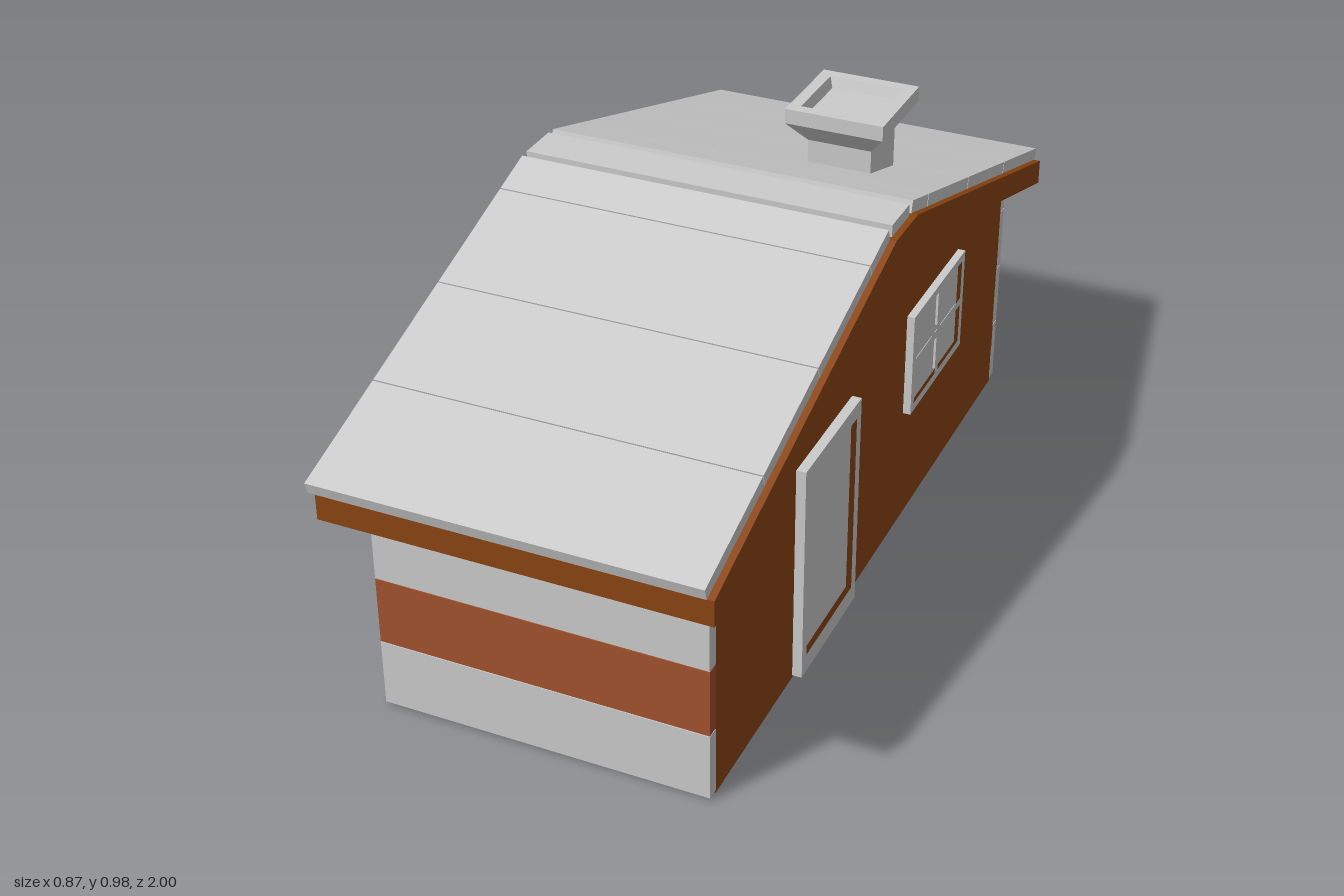
import * as THREE from 'three';

const material = (color) => new THREE.MeshStandardMaterial({ color, flatShading: true });

export function createModel() {
  const model = new THREE.Group();
  const grey = material(0xcccccc);
  const brown = material(0x8b4513);
  const red = material(0xa0522d);

  function add(name, geometry, mat, parent = model) {
    const mesh = new THREE.Mesh(geometry, mat);
    mesh.name = name;
    parent.add(mesh);
    return mesh;
  }

  // Box given by its limits on each axis
  function box(name, [x0, x1], [y0, y1], [z0, z1], mat, parent) {
    const mesh = add(name, new THREE.BoxGeometry(x1 - x0, y1 - y0, z1 - z0), mat, parent);
    mesh.position.set((x0 + x1) / 2, (y0 + y1) / 2, (z0 + z1) / 2);
    return mesh;
  }

  // Outline of [z, y] points, extruded along x
  const outline = (points) => points.map(([z, y]) => new THREE.Vector2(-z, y));
  function extrudeX(name, points, x0, x1, mat, parent, holes = []) {
    const shape = new THREE.Shape(outline(points));
    for (const hole of holes) shape.holes.push(new THREE.Path(outline(hole)));
    const geometry = new THREE.ExtrudeGeometry(shape, { depth: x1 - x0, bevelEnabled: false });
    geometry.rotateY(Math.PI / 2);
    geometry.translate(x0, 0, 0);
    return add(name, geometry, mat, parent);
  }
  const rect = (z0, z1, y0, y1) => [[z0, y0], [z1, y0], [z1, y1], [z0, y1]];
  const mirrored = (half) => [...half, ...half.map(([z, y]) => [-z, y]).reverse()];

  // House body with gabled side walls
  const wall = [-0.365, 0.38];
  extrudeX('walls', mirrored([[0.863, 0], [0.863, 0.57], [0.06, 0.82]]), ...wall, brown);

  // Cladding boards on the front and back
  const levels = [0.006, 0.165, 0.325, 0.485, 0.553];
  for (const side of [1, -1]) {
    for (let i = 0; i < 4; i++) {
      const z = side > 0 ? [0.86, 0.89] : [-0.89, -0.86];
      const mat = side > 0 && i === 1 ? red : grey;
      box(side > 0 ? 'frontBoard' : 'backBoard', wall, [levels[i] + 0.001, levels[i + 1] - 0.001], z, mat);
    }
  }

  // Roof slab
  extrudeX('roofBase', mirrored([[0.99, 0.52], [0.99, 0.58], [0.065, 0.872]]).concat(
    [[-0.06, 0.805], [0.06, 0.805]]), -0.42, 0.435, brown);

  // Roof planks, four to each slope
  const eave = new THREE.Vector2(0.992, 0.58);
  const ridge = new THREE.Vector2(0.065, 0.872);
  const up = new THREE.Vector2(0.008, 0.027);
  const stops = [0, 0.292, 0.588, 0.89, 1];
  for (const side of [1, -1]) {
    for (let i = 0; i < 4; i++) {
      const a = eave.clone().lerp(ridge, stops[i]);
      const b = eave.clone().lerp(ridge, stops[i + 1] - (i < 3 ? 0.003 : 0));
      const corners = [a, b, b.clone().add(up), a.clone().add(up)];
      const points = corners.map((p) => [side * p.x, p.y]);
      extrudeX('roofPlank', points, -0.435, 0.42, grey);
    }
  }
  box('ridgeCap', [-0.435, 0.42], [0.872, 0.9], [-0.052, 0.052], grey);

  // Door: frame around a recessed panel
  const door = new THREE.Group();
  door.name = 'door';
  model.add(door);
  extrudeX('doorFrame', rect(0.15, 0.462, 0.006, 0.53), 0.375, 0.402, grey, door, [rect(0.175, 0.438, 0.05, 0.493)]);
  box('doorPanel', [0.37, 0.386], [0.04, 0.5], [0.165, 0.45], grey, door);

  // Window: frame with four panes
  const win = new THREE.Group();
  win.name = 'window';
  model.add(win);
  const panes = [];
  for (const z of [-0.515, -0.352]) {
    for (const y of [0.31, 0.428]) panes.push(rect(z, z + 0.143, y, y + 0.098));
  }
  extrudeX('windowFrame', rect(-0.535, -0.189, 0.29, 0.545), 0.375, 0.398, grey, win, panes);
  box('windowGlass', [0.37, 0.386], [0.3, 0.535], [-0.525, -0.2], grey, win);

  // Square chimney with flared cap and shallow opening: [half width, y]
  const profile = [[0.075, 0.76], [0.075, 0.89], [0.115, 0.94], [0.115, 0.975],
    [0.088, 0.975], [0.08, 0.95], [0, 0.95]];
  const points = profile.map(([half, y]) => new THREE.Vector2(half * Math.SQRT2, y));
  const chimneyGeometry = new THREE.LatheGeometry(points, 4, Math.PI / 4).toNonIndexed();
  chimneyGeometry.computeVertexNormals();
  add('chimney', chimneyGeometry, grey).position.set(0.175, 0, -0.347);

  return model;
}
